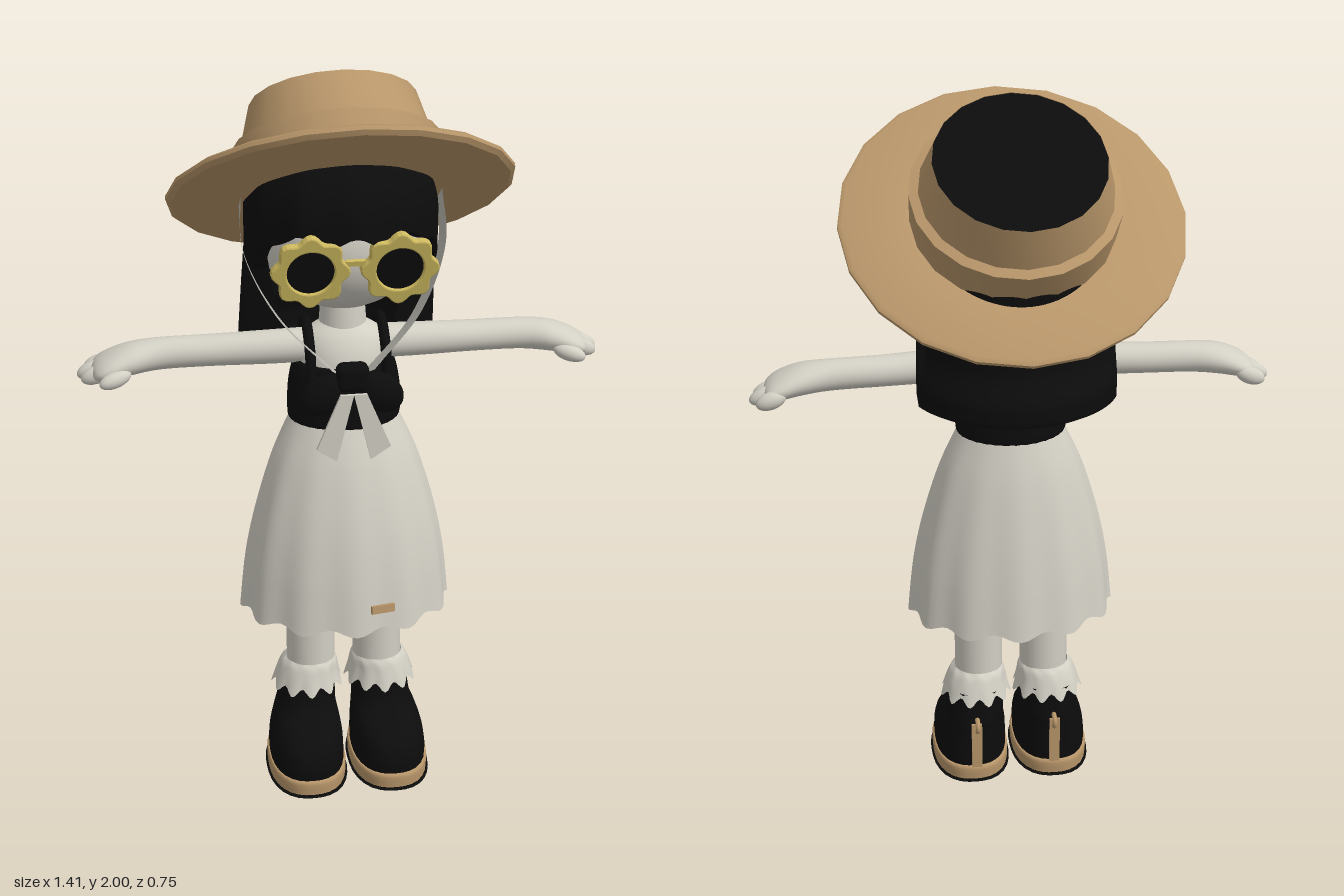
import * as THREE from 'three';
import { toCreasedNormals } from 'three/addons/utils/BufferGeometryUtils.js';
import { ParametricGeometry } from 'three/addons/geometries/ParametricGeometry.js';
import { RoundedBoxGeometry } from 'three/addons/geometries/RoundedBoxGeometry.js';

const material = (name, color) => {
  const m = new THREE.MeshStandardMaterial({ color, side: THREE.DoubleSide });
  m.name = name;
  return m;
};

const add = (parent, name, geometry, mat, x = 0, y = 0, z = 0) => {
  const mesh = new THREE.Mesh(geometry, mat);
  mesh.name = name;
  mesh.position.set(x, y, z);
  parent.add(mesh);
  return mesh;
};

// Smooth loft of upright rings [y, rx, rz, cx, cz], listed bottom to top.
// wave(angle, v) gives [radius factor, height offset]; power > 2 squares the ring.
function loft(rings, { slices = 32, stacks = 20, power = 2, wave = () => [1, 0] } = {}) {
  const columns = [0, 1, 2, 3, 4].map(i => new THREE.SplineCurve(rings.map(r => new THREE.Vector2(r[i], 0))));
  return new ParametricGeometry((u, v, out) => {
    const [y, rx, rz, cx, cz] = columns.map(c => c.getPoint(v).x);
    const a = (u - 0.5) * Math.PI * 2, s = Math.sin(a), c = Math.cos(a);
    const [k, dy] = wave(a, v);
    const r = k / Math.pow(Math.abs(s) ** power + Math.abs(c) ** power, 1 / power);
    out.set(cx + rx * r * s, y + dy, cz + rz * r * c);
  }, slices, stacks);
}

const ellipsoid = (x, y, z) => new THREE.SphereGeometry(1, 24, 16).scale(x, y, z);
const smooth = THREE.MathUtils.smoothstep;
const lerp = THREE.MathUtils.lerp;

// Hair shell: short fringe in front, long and curled under behind
function hairGeometry() {
  return new ParametricGeometry((u, v, out) => {
    const a = (u - 0.5) * Math.PI * 2, b = Math.abs(a) * 180 / Math.PI, s = 1 - v;
    const back = smooth(b, 95, 112);
    const locks = Math.cos(a * 11);
    let hem = lerp(1.615, 1.51, smooth(b, 45, 80)) + 0.015 * locks * (1 - back);
    hem = lerp(hem, 1.2, back);
    let r, y;
    if (s < 0.35) {
      const t = s / 0.35 * Math.PI / 2;
      r = Math.max(Math.sin(t), 0.002);
      y = 1.65 + 0.22 * Math.cos(t);
    } else {
      const t = (s - 0.35) / 0.65;
      y = lerp(1.65, hem, Math.sin(Math.min(t / 0.88, 1) * Math.PI / 2) * 0.4 + Math.min(t / 0.88, 1) * 0.6);
      r = 1 + back * 0.14 * smooth(t, 0.5, 0.72);
      r *= 1 - lerp(0.2, 0.55, back) * smooth(t, 0.82, 1);
    }
    r *= 1 + 0.018 * locks * (1 - back) * smooth(s, 0.1, 0.35);
    out.set(0.25 * r * Math.sin(a), y, 0.01 + 0.25 * r * Math.cos(a));
  }, 96, 44);
}

// Scalloped spectacle rim with a round opening
function rimGeometry() {
  const pts = Array.from({ length: 64 }, (_, i) => {
    const a = i / 64 * Math.PI * 2, r = 0.089 + 0.008 * Math.cos(a * 8);
    return new THREE.Vector2(r * Math.cos(a), r * Math.sin(a));
  });
  const shape = new THREE.Shape(pts);
  shape.holes.push(new THREE.Path().absarc(0, 0, 0.064, 0, Math.PI * 2, true));
  return new THREE.ExtrudeGeometry(shape, {
    depth: 0.014, bevelSize: 0.004, bevelThickness: 0.005, bevelSegments: 2, curveSegments: 24 });
}

// Everything that exists once per side, built on the +x side
function buildSide(M) {
  const g = new THREE.Group();

  // Arm and hand, lofted upright and then laid along x
  const arm = [
    [0.07, 0.046, 0.05, 1.277, 0.04], [0.2, 0.045, 0.046, 1.275, 0.038], [0.35, 0.042, 0.045, 1.272, 0.03],
    [0.48, 0.042, 0.046, 1.27, 0.027], [0.56, 0.041, 0.064, 1.262, 0.03], [0.62, 0.034, 0.074, 1.247, 0.03],
    [0.655, 0.022, 0.06, 1.235, 0.025], [0.668, 0.001, 0.001, 1.23, 0.025],
  ].map(([x, ry, rz, cy, cz]) => [x, ry, rz, -cy, cz]);
  add(g, 'arm', loft(arm, { stacks: 32 }).rotateZ(-Math.PI / 2), M.white);
  [[0.645, -0.032, 0.042], [0.658, 0.007, 0.047], [0.65, 0.046, 0.045]].forEach(([x, z, len]) => {
    add(g, 'finger', ellipsoid(len, 0.024, 0.022), M.white, x, 1.228, z).rotation.z = -0.35;
  });
  add(g, 'thumb', ellipsoid(0.045, 0.022, 0.022), M.white, 0.605, 1.232, 0.1).rotation.set(0, -0.35, -0.25);

  // Leg and frilled sock
  add(g, 'leg', new THREE.CylinderGeometry(0.07, 0.068, 0.5, 28), M.white, 0.095, 0.53, 0.05);
  add(g, 'sock', loft([
    [0.255, 0.098, 0.1, 0.105, 0.045], [0.29, 0.088, 0.09, 0.104, 0.046],
    [0.32, 0.079, 0.08, 0.1, 0.048], [0.335, 0.068, 0.069, 0.098, 0.05],
  ], { slices: 72, stacks: 8, wave: (a, v) => [1 + 0.05 * (1 - v) * Math.cos(a * 11), -0.012 * (1 - v) * Math.cos(a * 11)] }), M.white);

  // Boot, sole and heel pull
  add(g, 'boot', loft([
    [0.035, 0.103, 0.162, 0.118, 0.105], [0.08, 0.104, 0.163, 0.118, 0.105], [0.125, 0.1, 0.154, 0.116, 0.098],
    [0.16, 0.092, 0.134, 0.113, 0.078], [0.19, 0.083, 0.104, 0.109, 0.048], [0.23, 0.08, 0.09, 0.106, 0.04],
    [0.28, 0.078, 0.086, 0.105, 0.04],
  ], { power: 2.4, stacks: 28 }), M.black);
  const sole = [0.005, 0.045].map(y => [y, 0.109, 0.17, 0.118, 0.105]);
  add(g, 'sole', loft([...sole, [0.046, 0.09, 0.15, 0.118, 0.105]], { power: 2.4, stacks: 8 }), M.tan);
  add(g, 'soleUnderside', loft([[0, 0.001, 0.001, 0.118, 0.105], [0.001, 0.107, 0.168, 0.118, 0.105],
    [0.006, 0.109, 0.17, 0.118, 0.105]], { power: 2.4, stacks: 8 }), M.black);
  add(g, 'heelStrip', new THREE.BoxGeometry(0.03, 0.15, 0.012), M.tan, 0.114, 0.115, -0.058);
  add(g, 'heelPull', new THREE.TorusGeometry(0.018, 0.007, 8, 18), M.tan, 0.112, 0.185, -0.058).rotation.y = Math.PI / 2;

  // Shoulder strap of the top
  const shoulder = new THREE.CatmullRomCurve3([[0.1, 1.2, 0.15], [0.1, 1.29, 0.12], [0.1, 1.345, 0.04],
    [0.1, 1.29, -0.04], [0.1, 1.2, -0.06]].map(p => new THREE.Vector3(...p)));
  add(g, 'shoulderStrap', new THREE.TubeGeometry(shoulder, 24, 0.014, 8), M.black);

  // Hat ribbon running from brim to bow
  const path = new THREE.CatmullRomCurve3([[0.262, 1.67, -0.01], [0.26, 1.54, 0.045], [0.18, 1.385, 0.13],
    [0.04, 1.25, 0.195]].map(p => new THREE.Vector3(...p)));
  add(g, 'hatRibbon', new ParametricGeometry((u, v, out) => {
    const w = u - 0.5;
    path.getPoint(v, out).add(new THREE.Vector3(0.03 * v * w, 0.03 * w, 0.065 * w * (1 - 0.4 * v)));
  }, 2, 24), M.ribbon);

  // Bow loop and tail
  add(g, 'bowLoop', ellipsoid(0.07, 0.052, 0.035), M.black, 0.072, 1.19, 0.185).rotation.z = -0.55;
  const tail = new THREE.Shape([[0, 1.2], [0.035, 1.2], [0.098, 1.05], [0.045, 1.015]].map(p => new THREE.Vector2(...p)));
  add(g, 'bowTail', new THREE.ExtrudeGeometry(tail, { depth: 0.01, bevelEnabled: false }), M.white, 0, 0, 0.214);
  return g;
}

export function createModel() {
  const M = {
    white: material('warm white', 0xd2cfc4), ribbon: material('ribbon grey', 0xb9b6ae),
    black: material('black', 0x0c0c0c), tan: material('straw tan', 0xb8966a), yellow: material('frame yellow', 0xcdb95f),
  };
  const model = new THREE.Group();
  model.name = 'girlInStrawHat';

  // Head, neck, chest
  add(model, 'head', ellipsoid(0.215, 0.195, 0.19), M.white, 0, 1.575, 0.03);
  add(model, 'neck', new THREE.CylinderGeometry(0.055, 0.068, 0.16, 24), M.white, 0, 1.36, 0.03);
  add(model, 'chest', loft([[1.15, 0.125, 0.105, 0, 0.045], [1.25, 0.122, 0.095, 0, 0.045],
    [1.31, 0.105, 0.075, 0, 0.04], [1.345, 0.05, 0.045, 0, 0.035]]), M.white);
  add(model, 'hair', hairGeometry(), M.black);

  // Black top
  add(model, 'bodice', loft([[1.065, 0.14, 0.115, 0, 0.05], [1.09, 0.152, 0.122, 0, 0.05],
    [1.17, 0.15, 0.12, 0, 0.05], [1.235, 0.135, 0.108, 0, 0.047], [1.24, 0.115, 0.09, 0, 0.047]]), M.black);

  // Fluted skirt with a scalloped hem, and its small tag
  add(model, 'skirt', loft([[0.53, 0.288, 0.23, 0, 0.065], [0.68, 0.272, 0.213, 0, 0.065], [0.82, 0.243, 0.19, 0, 0.063],
    [0.97, 0.197, 0.155, 0, 0.057], [1.09, 0.143, 0.115, 0, 0.05]],
  { slices: 96, wave: (a, v) => [1 + 0.022 * (1 - v) * Math.cos(a * 12), -0.01 * (1 - v) ** 3 * Math.cos(a * 12)] }), M.white);
  add(model, 'skirtTag', new THREE.BoxGeometry(0.065, 0.022, 0.009), M.tan, 0.07, 0.598, 0.286).rotation.set(-0.1, 0.2, 0);

  // Mirrored limbs and ribbons
  const left = buildSide(M), right = buildSide(M);
  left.name = 'leftSide';
  right.name = 'rightSide';
  right.scale.x = -1;
  model.add(left, right);
  add(model, 'bowKnot', new RoundedBoxGeometry(0.085, 0.075, 0.055, 3, 0.02), M.black, 0, 1.24, 0.195);

  // Flower-shaped sunglasses
  const glasses = new THREE.Group();
  glasses.name = 'sunglasses';
  glasses.position.set(0, 1.545, 0.225);
  glasses.rotation.x = 0.22;
  for (const x of [-0.113, 0.113]) {
    add(glasses, 'glassesRim', rimGeometry(), M.yellow, x);
    add(glasses, 'lens', new THREE.CylinderGeometry(0.066, 0.066, 0.009, 32).rotateX(Math.PI / 2), M.black, x, 0, 0.006);
  }
  add(glasses, 'glassesBridge', new THREE.BoxGeometry(0.05, 0.014, 0.012), M.yellow, 0, 0.02, 0.007);
  model.add(glasses);

  // Tilted straw hat
  const hat = new THREE.Group();
  hat.name = 'hat';
  hat.position.set(0, 1.68, 0);
  hat.rotation.x = -0.61;
  const lathe = pts => toCreasedNormals(new THREE.LatheGeometry(pts.map(p => new THREE.Vector2(...p)), 20), 0.6);
  add(hat, 'hatBrim', lathe([[0.2, -0.012], [0.44, -0.014], [0.452, -0.004], [0.452, 0.006], [0.44, 0.014], [0.25, 0.016]]), M.tan);
  add(hat, 'hatCrown', lathe([[0.268, 0.01], [0.274, 0.12], [0.25, 0.128], [0.22, 0.24]]), M.tan);
  add(hat, 'hatTop', new THREE.CircleGeometry(0.22, 20).rotateX(-Math.PI / 2), M.black, 0, 0.238, 0);
  model.add(hat);
  return model;
}
